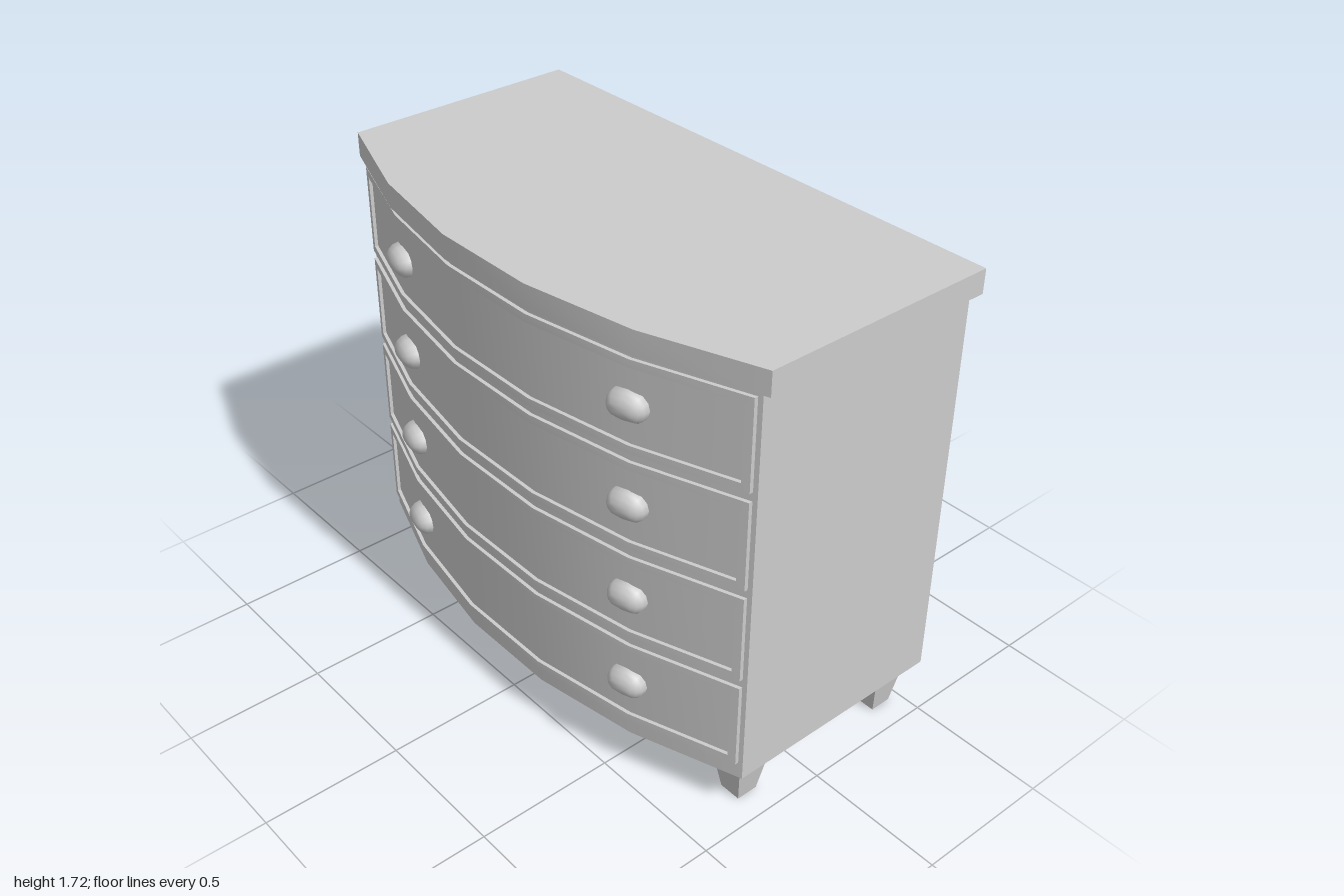
import * as THREE from 'three';
import { toCreasedNormals, mergeGeometries } from 'three/addons/utils/BufferGeometryUtils.js';

const material = new THREE.MeshStandardMaterial({ color: 0xcccccc });

// Corners of the five-sided bow front of the carcass, as x, z
const BOW = [[-0.965, 0.32], [-0.58, 0.455], [-0.193, 0.522], [0.193, 0.522], [0.58, 0.455], [0.965, 0.32]];

function bowZ(x) {
  const i = Math.max(1, BOW.findIndex((p) => p[0] >= x));
  const [a, b] = [BOW[i - 1], BOW[i]];
  return THREE.MathUtils.mapLinear(x, a[0], b[0], a[1], b[1]);
}

// Points along the bow from x0 to x1, moved forward by dz
function bowLine(x0, x1, dz) {
  const xs = [x0, ...BOW.map((p) => p[0]).filter((x) => x > x0 + 1e-4 && x < x1 - 1e-4), x1];
  return xs.map((x) => [x, bowZ(x) + dz]);
}

// Extrudes a plan outline of x, z points upwards from y0 to y1
function slab(points, y0, y1) {
  const shape = new THREE.Shape(points.map(([x, z]) => new THREE.Vector2(x, -z)));
  const geo = new THREE.ExtrudeGeometry(shape, { depth: y1 - y0, bevelEnabled: false });
  geo.rotateX(-Math.PI / 2).translate(0, y0, 0);
  return toCreasedNormals(geo, 0.5);
}

// Strip of beading that follows the bow
function bead(x0, x1, y0, y1) {
  return slab([...bowLine(x0, x1, 0.013), ...bowLine(x0, x1, -0.02).reverse()], y0, y1);
}

function add(parent, name, geo) {
  const mesh = new THREE.Mesh(geo, material);
  mesh.name = name;
  parent.add(mesh);
  return mesh;
}

// Oblong knob: a sphere pulled apart sideways
function knobGeometry() {
  const geo = new THREE.SphereGeometry(0.05, 12, 8).rotateX(Math.PI / 2);
  const pos = geo.attributes.position;
  for (let i = 0; i < pos.count; i++) {
    const x = pos.getX(i);
    if (Math.abs(x) > 0.001) pos.setX(i, x + Math.sign(x) * 0.022);
  }
  return geo;
}

export function createModel() {
  const chest = new THREE.Group();
  chest.name = 'chestOfDrawers';

  // Carcass and overhanging top
  add(chest, 'carcass', slab([[-0.965, -0.53], ...BOW, [0.965, -0.53]], 0.172, 1.632));
  const topBow = BOW.map(([x, z]) => [x / 0.965, z * 1.05 - 0.008]);
  add(chest, 'top', slab([[-1, -0.543], ...topBow, [1, -0.543]], 1.63, 1.715));

  // Four drawers, each a beaded frame with two knobs
  const knobGeo = knobGeometry();
  for (let i = 0; i < 4; i++) {
    const y0 = 0.235 + i * 0.3515, y1 = y0 + 0.32, w = 0.028;
    const drawer = new THREE.Group();
    drawer.name = `drawer${i + 1}`;
    chest.add(drawer);
    add(drawer, 'beading', mergeGeometries([
      bead(-0.95, 0.95, y0, y0 + w),
      bead(-0.95, 0.95, y1 - w, y1),
      bead(-0.95, -0.923, y0 + w, y1 - w),
      bead(0.923, 0.95, y0 + w, y1 - w),
    ]));
    for (const side of [-1, 1]) {
      const knob = add(drawer, side > 0 ? 'leftKnob' : 'rightKnob', knobGeo);
      knob.position.set(side * 0.568, (y0 + y1) / 2, 0.455);
      knob.rotation.y = side * 0.24;
    }
  }

  // Tapered square feet
  const footGeo = new THREE.CylinderGeometry(0.068 * Math.SQRT2, 0.04 * Math.SQRT2, 0.174, 4)
    .toNonIndexed().rotateY(Math.PI / 4);
  footGeo.computeVertexNormals();
  for (const x of [-0.865, 0.865]) {
    for (const z of [0.23, -0.413]) {
      add(chest, `${z > 0 ? 'front' : 'back'}${x > 0 ? 'Left' : 'Right'}Foot`, footGeo).position.set(x, 0.087, z);
    }
  }
  return chest;
}
